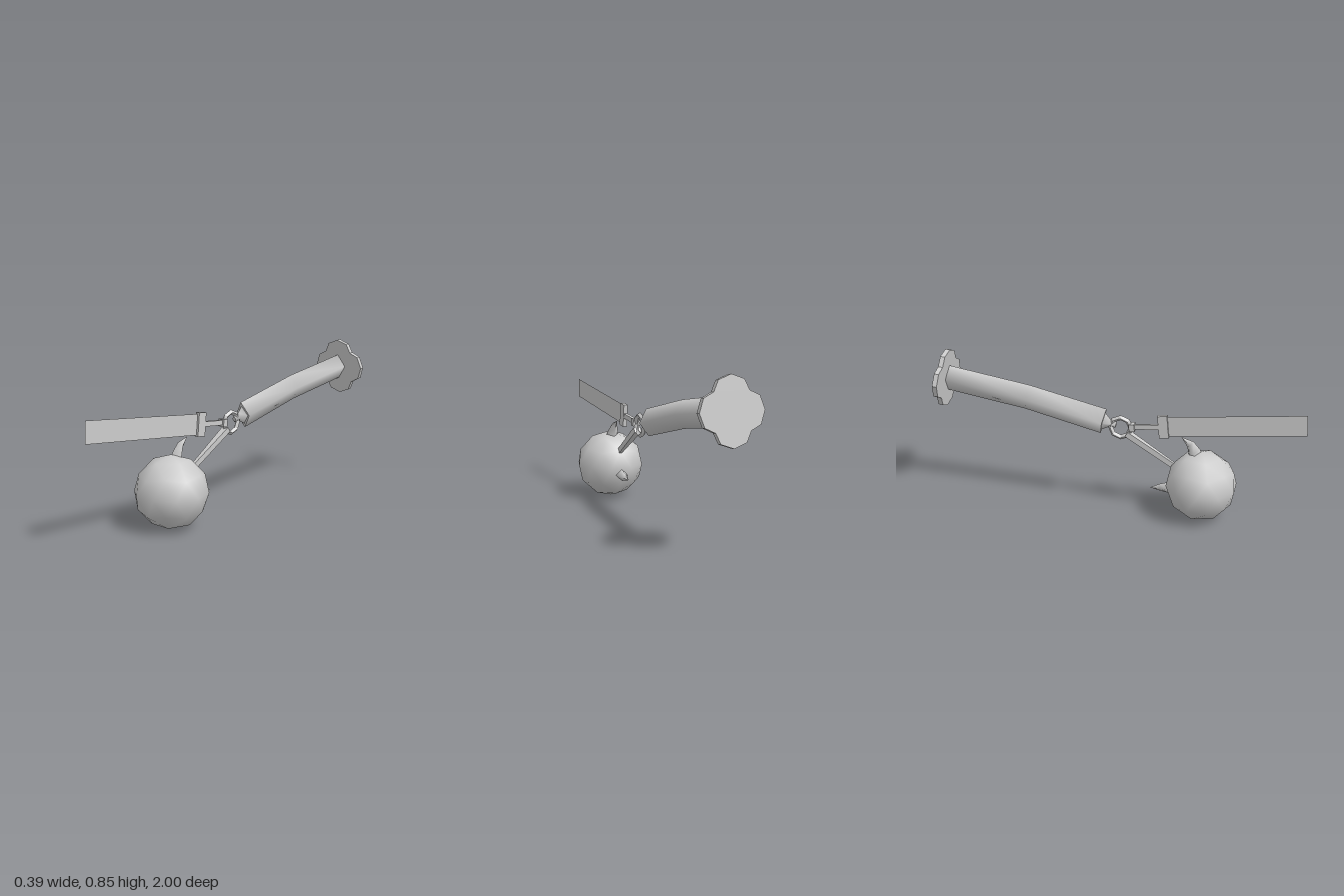
import * as THREE from 'three';

const grey = new THREE.MeshStandardMaterial({ color: 0xcccccc });
const greyFlat = new THREE.MeshStandardMaterial({ color: 0xcccccc, flatShading: true });
const greyThin = new THREE.MeshStandardMaterial({ color: 0xcccccc, side: THREE.DoubleSide });

// Four-sided loft along a path in the x = 0 plane.
// Each section is [z, y, halfWidth, halfHeight]; phase 0 is a diamond, PI/4 a rectangle.
function loft(sections, phase = 0) {
  const n = 4, pos = [], idx = [];
  const scale = phase ? Math.SQRT2 : 1;
  const rings = sections.map(([z, y, w, h], i) => {
    const a = sections[Math.max(i - 1, 0)];
    const b = sections[Math.min(i + 1, sections.length - 1)];
    const t = new THREE.Vector2(b[0] - a[0], b[1] - a[1]).normalize();
    return Array.from({ length: n }, (_, k) => {
      const ang = phase + (k * 2 * Math.PI) / n;
      const u = Math.cos(ang) * w * scale, v = Math.sin(ang) * h * scale;
      return [u, y + v * t.x, z - v * t.y];
    });
  });
  rings.forEach((r) => r.forEach((p) => pos.push(...p)));
  for (let i = 0; i < rings.length - 1; i++) {
    for (let k = 0; k < n; k++) {
      const a = i * n + k, b = i * n + ((k + 1) % n);
      idx.push(a, b, b + n, a, b + n, a + n);
    }
  }
  // End caps use their own vertices so the rims stay sharp
  for (const [ring, flip] of [[rings[0], true], [rings[rings.length - 1], false]]) {
    const s = pos.length / 3;
    ring.forEach((p) => pos.push(...p));
    if (flip) idx.push(s, s + 2, s + 1, s, s + 3, s + 2);
    else idx.push(s, s + 1, s + 2, s, s + 2, s + 3);
  }
  const g = new THREE.BufferGeometry();
  g.setAttribute('position', new THREE.Float32BufferAttribute(pos, 3));
  g.setIndex(idx);
  g.computeVertexNormals();
  return g;
}

export function createModel() {
  const model = new THREE.Group();
  model.name = 'flail';
  const add = (name, geometry, material = grey) => {
    const mesh = new THREE.Mesh(geometry, material);
    mesh.name = name;
    model.add(mesh);
    return mesh;
  };

  // Ball with one vertex pointing straight up
  const ball = add('ball', new THREE.IcosahedronGeometry(0.193, 1));
  ball.rotation.x = -Math.atan2(0.851, 0.526);
  ball.position.set(0, 0.195, 0.465);

  // Curved spikes on the ball
  add('topSpike', loft([
    [0.435, 0.35, 0.038, 0.036], [0.422, 0.385, 0.034, 0.034],
    [0.4, 0.425, 0.02, 0.023], [0.35, 0.462, 0, 0],
  ]));
  add('backSpike', loft([
    [0.32, 0.155, 0.038, 0.036], [0.285, 0.157, 0.034, 0.032],
    [0.242, 0.153, 0.02, 0.021], [0.185, 0.146, 0, 0],
  ]));

  // Arm from the ring down to the ball
  add('ballArm', loft([[0.055, 0.455, 0.02, 0.015], [0.33, 0.28, 0.008, 0.015]], Math.PI / 4), greyFlat);

  // Ring joining handle, arm and blade
  const ring = add('ring', new THREE.TorusGeometry(0.056, 0.014, 4, 8), greyFlat);
  ring.rotation.set(0, Math.PI / 2, 0);
  ring.position.set(0, 0.485, 0.02);

  // Paper-thin blade, drawn as (z, y)
  const blade = add('blade', new THREE.ShapeGeometry(new THREE.Shape([
    new THREE.Vector2(0.26, 0.455), new THREE.Vector2(1, 0.53),
    new THREE.Vector2(0.993, 0.64), new THREE.Vector2(0.25, 0.565),
  ])), greyThin);
  blade.rotation.y = -Math.PI / 2;

  // Guard and stem of the blade
  const guard = add('guard', new THREE.BoxGeometry(0.024, 0.125, 0.052));
  guard.position.set(0, 0.51, 0.252);
  guard.rotation.x = -0.1;
  add('bladeStem', loft([[0.08, 0.495, 0.01, 0.013], [0.24, 0.509, 0.01, 0.013]], Math.PI / 4), greyFlat);
  const clasp = add('bladeClasp', new THREE.BoxGeometry(0.04, 0.04, 0.03));
  clasp.position.set(0, 0.493, 0.083);
  clasp.rotation.x = -0.1;

  // Handle: bent diamond bar with a tapered collar at the front
  add('handle', loft([
    [-0.075, 0.513, 0.047, 0.073], [-0.5, 0.615, 0.047, 0.071], [-0.955, 0.69, 0.047, 0.071],
  ]));
  add('handleCollar', loft([
    [-0.005, 0.499, 0.012, 0.017], [-0.04, 0.505, 0.016, 0.022], [-0.08, 0.514, 0.04, 0.055],
  ]));

  // Four-lobed pommel plate
  const radii = [0.163, 0.154, 0.126, 0.154];
  const outline = Array.from({ length: 16 }, (_, i) => {
    const a = (i * Math.PI) / 8 + [0, 0.04, 0, -0.04][i % 4];
    return new THREE.Vector2(Math.cos(a), Math.sin(a)).multiplyScalar(radii[i % 4]);
  });
  const plate = new THREE.ExtrudeGeometry(new THREE.Shape(outline), { depth: 0.026, bevelEnabled: false });
  plate.translate(0, 0, -0.013);
  const pommel = add('pommel', plate);
  pommel.position.set(0, 0.69, -0.967);
  pommel.rotation.x = 0.12;

  return model;
}
